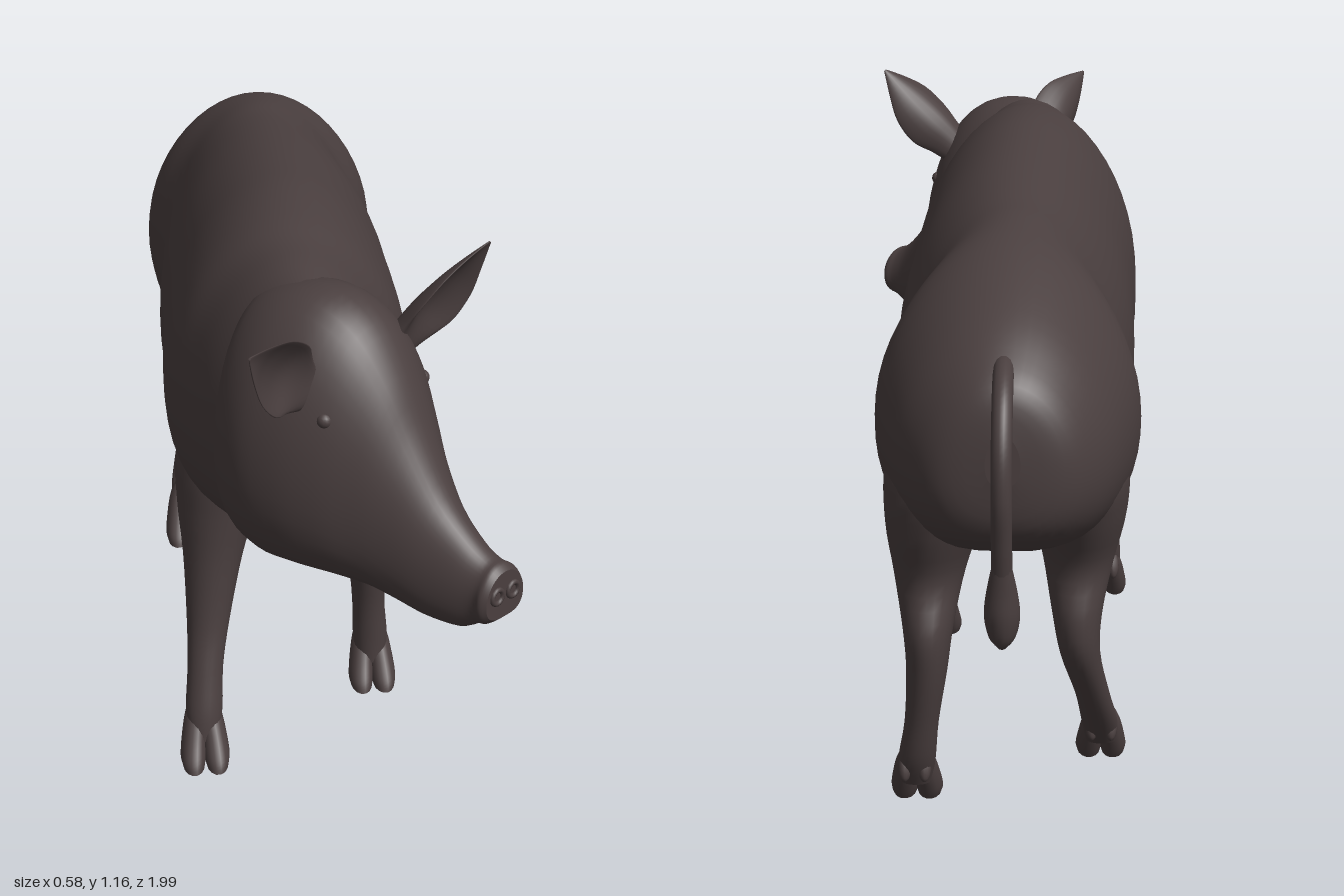
import * as THREE from 'three';

const hide = new THREE.MeshStandardMaterial({ color: 0x4a3f3f });
hide.name = 'dark brown hide';

// Smooth interpolation of every column in a table of cross-sections
function sample(rows, t) {
  const n = rows.length - 1, f = Math.min(t * n, n - 1e-6), i = Math.floor(f), u = f - i;
  const at = (k) => rows[Math.max(0, Math.min(n, k))];
  return rows[0].map((_, c) => {
    const p0 = at(i - 1)[c], p1 = at(i)[c], p2 = at(i + 1)[c], p3 = at(i + 2)[c];
    return p1 + 0.5 * u * (p2 - p0 + u * (2 * p0 - 5 * p1 + 4 * p2 - p3 + u * (3 * (p1 - p2) + p3 - p0)));
  });
}

// Closed skin over the cross-sections; point(row, cos, sin) gives the outline
function loft(name, rows, point, sides = 32, steps = 4) {
  const pos = [], idx = [], rings = (rows.length - 1) * steps + 1;
  for (let j = 0; j < rings; j++) {
    const row = sample(rows, j / (rings - 1));
    for (let i = 0; i < sides; i++) {
      const a = (i / sides) * Math.PI * 2;
      pos.push(...point(row, Math.cos(a), Math.sin(a)));
    }
  }
  for (let j = 0; j < rings - 1; j++) {
    for (let i = 0; i < sides; i++) {
      const k = (i + 1) % sides, a = j * sides + i, b = j * sides + k;
      idx.push(a, b, b + sides, a, b + sides, a + sides);
    }
  }
  // End caps with their own vertices, so the rims stay crisp
  for (const end of [0, rings - 1]) {
    const start = pos.length / 3, c = [0, 0, 0];
    for (let i = 0; i < sides; i++) {
      for (let d = 0; d < 3; d++) {
        const v = pos[(end * sides + i) * 3 + d];
        pos.push(v);
        c[d] += v / sides;
      }
    }
    pos.push(...c);
    for (let i = 0; i < sides; i++) {
      const a = start + i, b = start + (i + 1) % sides;
      if (end) idx.push(start + sides, a, b); else idx.push(start + sides, b, a);
    }
  }
  // Turn the skin outward when its signed volume is negative
  const v = (i) => new THREE.Vector3().fromArray(pos, i * 3);
  let volume = 0;
  for (let i = 0; i < idx.length; i += 3) volume += v(idx[i]).dot(v(idx[i + 1]).cross(v(idx[i + 2])));
  if (volume < 0) idx.reverse();
  const g = new THREE.BufferGeometry();
  g.setAttribute('position', new THREE.Float32BufferAttribute(pos, 3));
  g.setIndex(idx);
  g.computeVertexNormals();
  return mesh(name, g);
}

function mesh(name, geometry) {
  const m = new THREE.Mesh(geometry, hide);
  m.name = name;
  return m;
}

// Horizontal section: [y, centre x, centre z, half width, half depth]
const flat = ([y, x, z, rx, rz], c, s) => [x + rx * c, y, z + rz * s];

// Rounded-square the sideways coordinate of an outline
const square = (c, power) => Math.sign(c) * Math.abs(c) ** power;

// Head frame, turned toward the model's left
const YAW = 0.69, FX = Math.sin(YAW), FZ = Math.cos(YAW);
const headPoint = (side, y, fwd) => [0.015 + fwd * FX + side * FZ, y, 0.69 + fwd * FZ - side * FX];

function leg(name, rows, footZ) {
  const g = new THREE.Group();
  g.name = name;
  const x = rows[rows.length - 1][1];
  g.add(loft(name + 'Limb', rows, flat, 24));
  for (const s of [-1, 1]) {
    // Toe slopes forward to a low tip
    g.add(loft('hoofToe', [
      [0.12, x + s * 0.008, footZ - 0.03, 0.012, 0.014], [0.09, x + s * 0.014, footZ - 0.022, 0.021, 0.028],
      [0.05, x + s * 0.02, footZ, 0.024, 0.036], [0.018, x + s * 0.023, footZ + 0.022, 0.025, 0.041],
      [0, x + s * 0.023, footZ + 0.033, 0.021, 0.04],
    ], flat, 14));
    const claw = mesh('dewclaw', new THREE.SphereGeometry(0.014, 12, 10));
    claw.scale.set(0.9, 2.2, 1.1);
    claw.position.set(x + s * 0.018, 0.085, footZ - 0.048);
    claw.rotation.x = 0.5;
    g.add(claw);
  }
  return g;
}

// Cupped leaf-shaped ear from base to tip, opening along the facing direction
function ear(name, base, tip, facing) {
  const b = new THREE.Vector3(...base), axis = new THREE.Vector3(...tip).sub(b);
  const dir = axis.clone().normalize(), n = new THREE.Vector3(...facing);
  n.addScaledVector(dir, -n.dot(dir)).normalize();
  const side = new THREE.Vector3().crossVectors(dir, n);
  const rows = [[-0.15, 0.036, 0.026, 0], [0.1, 0.05, 0.018, 0.02], [0.33, 0.066, 0.009, 0.036],
    [0.58, 0.06, 0.006, 0.028], [0.8, 0.034, 0.005, 0.012], [1, 0.003, 0.002, 0]];
  return loft(name, rows, ([t, w, thick, cup], c, s) => b.clone().addScaledVector(axis, t)
    .addScaledVector(side, w * c).addScaledVector(n, thick * s + cup * (c * c - 0.5)).toArray(), 24);
}

export function createModel() {
  const boar = new THREE.Group();
  boar.name = 'wildBoar';

  // Trunk: [z, top, bottom, half width, centre x]
  boar.add(loft('body', [
    [-0.905, 0.77, 0.68, 0.03, -0.035], [-0.89, 0.84, 0.60, 0.105, -0.035],
    [-0.84, 0.89, 0.55, 0.158, -0.035], [-0.74, 0.95, 0.51, 0.205, -0.035],
    [-0.56, 1.02, 0.47, 0.24, -0.035], [-0.42, 1.05, 0.415, 0.21, -0.04],
    [-0.3, 1.06, 0.385, 0.22, -0.04], [-0.1, 1.085, 0.42, 0.232, -0.04],
    [0.1, 1.108, 0.455, 0.23, -0.045], [0.25, 1.122, 0.465, 0.232, -0.05],
    [0.4, 1.12, 0.505, 0.226, -0.055], [0.5, 1.108, 0.535, 0.2, -0.055],
    [0.6, 1.1, 0.57, 0.168, -0.05], [0.7, 1.07, 0.61, 0.12, -0.03], [0.74, 1.0, 0.7, 0.06, -0.02],
  ], ([z, top, bot, w, x], c, s) =>
    [x + w * square(c, s < 0 ? 0.72 : 1) * (1 - 0.12 * s), (top + bot) / 2 + s * (top - bot) / 2, z], 48));

  // Head: [forward, top, bottom, half width, sideways bend]
  const head = new THREE.Group();
  head.name = 'head';
  head.add(loft('skullAndSnout', [
    [-0.2, 1.0, 0.66, 0.08, -0.02], [-0.16, 1.06, 0.61, 0.145, -0.018], [-0.08, 1.092, 0.585, 0.178, -0.014],
    [0, 1.09, 0.582, 0.174, -0.006], [0.07, 1.05, 0.582, 0.15, 0], [0.13, 0.97, 0.578, 0.114, 0],
    [0.18, 0.875, 0.568, 0.088, 0], [0.24, 0.78, 0.556, 0.067, 0.002], [0.3, 0.72, 0.557, 0.053, 0.008],
    [0.335, 0.695, 0.575, 0.049, 0.014], [0.354, 0.69, 0.582, 0.054, 0.016], [0.366, 0.68, 0.592, 0.047, 0.017],
  ], ([f, top, bot, w, bend], c, s) =>
    headPoint(bend + w * square(c, s < 0 ? 0.62 : 0.9) * (1 - 0.14 * s), (top + bot) / 2 + s * (top - bot) / 2, f), 40));
  for (const s of [-1, 1]) {
    const eye = mesh('eye', new THREE.SphereGeometry(0.014, 14, 10));
    eye.position.set(...headPoint(s * 0.122, 0.91, 0.07));
    head.add(eye);
    const nostril = mesh('nostrilRim', new THREE.TorusGeometry(0.013, 0.005, 8, 16));
    nostril.position.set(...headPoint(0.017 + s * 0.02, 0.638, 0.366));
    nostril.rotation.y = YAW;
    head.add(nostril);
  }
  head.add(ear('leftEar', [0.115, 0.985, 0.67], [0.27, 1.155, 0.65], [0.7, -0.2, 0.65]));
  head.add(ear('rightEar', [-0.075, 0.965, 0.8], [-0.172, 1.105, 0.98], [0.72, -0.1, 0.68]));
  boar.add(head);

  // Legs in mid stride
  boar.add(leg('frontLeftLeg', [
    [0.87, 0.03, 0.22, 0.03, 0.05], [0.75, 0.06, 0.22, 0.085, 0.11], [0.6, 0.088, 0.22, 0.09, 0.13],
    [0.5, 0.1, 0.215, 0.08, 0.104], [0.4, 0.108, 0.21, 0.056, 0.069], [0.27, 0.12, 0.2, 0.038, 0.043],
    [0.18, 0.125, 0.187, 0.033, 0.034], [0.1, 0.13, 0.178, 0.035, 0.034], [0.045, 0.132, 0.184, 0.03, 0.026],
  ], 0.184));
  boar.add(leg('frontRightLeg', [
    [0.87, -0.12, 0.25, 0.03, 0.05], [0.75, -0.145, 0.28, 0.085, 0.11], [0.6, -0.175, 0.295, 0.09, 0.12],
    [0.5, -0.188, 0.32, 0.078, 0.092], [0.4, -0.2, 0.345, 0.058, 0.065], [0.27, -0.213, 0.375, 0.042, 0.045],
    [0.18, -0.222, 0.405, 0.035, 0.036], [0.1, -0.227, 0.428, 0.036, 0.035], [0.045, -0.229, 0.445, 0.03, 0.026],
  ], 0.447));
  boar.add(leg('rearLeftLeg', [
    [0.9, 0.03, -0.6, 0.04, 0.07], [0.8, 0.05, -0.62, 0.1, 0.13], [0.65, 0.078, -0.645, 0.105, 0.17],
    [0.55, 0.094, -0.655, 0.09, 0.145], [0.45, 0.103, -0.665, 0.065, 0.1], [0.36, 0.104, -0.715, 0.046, 0.075],
    [0.28, 0.106, -0.732, 0.037, 0.05], [0.18, 0.116, -0.725, 0.031, 0.034],
    [0.1, 0.126, -0.705, 0.034, 0.034], [0.045, 0.13, -0.685, 0.03, 0.026],
  ], -0.665));
  boar.add(leg('rearRightLeg', [
    [0.9, -0.1, -0.58, 0.04, 0.07], [0.8, -0.122, -0.6, 0.1, 0.13], [0.65, -0.15, -0.615, 0.104, 0.17],
    [0.55, -0.166, -0.6, 0.088, 0.138], [0.45, -0.166, -0.595, 0.065, 0.088], [0.36, -0.164, -0.635, 0.046, 0.062],
    [0.28, -0.17, -0.635, 0.037, 0.05], [0.18, -0.193, -0.577, 0.032, 0.042],
    [0.1, -0.208, -0.52, 0.034, 0.036], [0.045, -0.212, -0.485, 0.03, 0.026],
  ], -0.465));

  // Hanging tail with a tufted end
  const tail = new THREE.Group();
  tail.name = 'tail';
  const path = new THREE.CatmullRomCurve3([[0.875, -0.76], [0.872, -0.85], [0.835, -0.925], [0.765, -0.97],
    [0.68, -0.98], [0.6, -0.965], [0.52, -0.945]].map(([y, z]) => new THREE.Vector3(-0.035, y, z)));
  tail.add(mesh('tailStem', new THREE.TubeGeometry(path, 40, 0.018, 14)));
  tail.add(loft('tailTuft', [
    [0.58, -0.035, -0.96, 0.012, 0.013], [0.51, -0.035, -0.942, 0.026, 0.024],
    [0.46, -0.035, -0.929, 0.031, 0.035], [0.42, -0.035, -0.922, 0.024, 0.032], [0.4, -0.035, -0.925, 0.008, 0.014],
  ], flat, 18));
  boar.add(tail);
  return boar;
}
